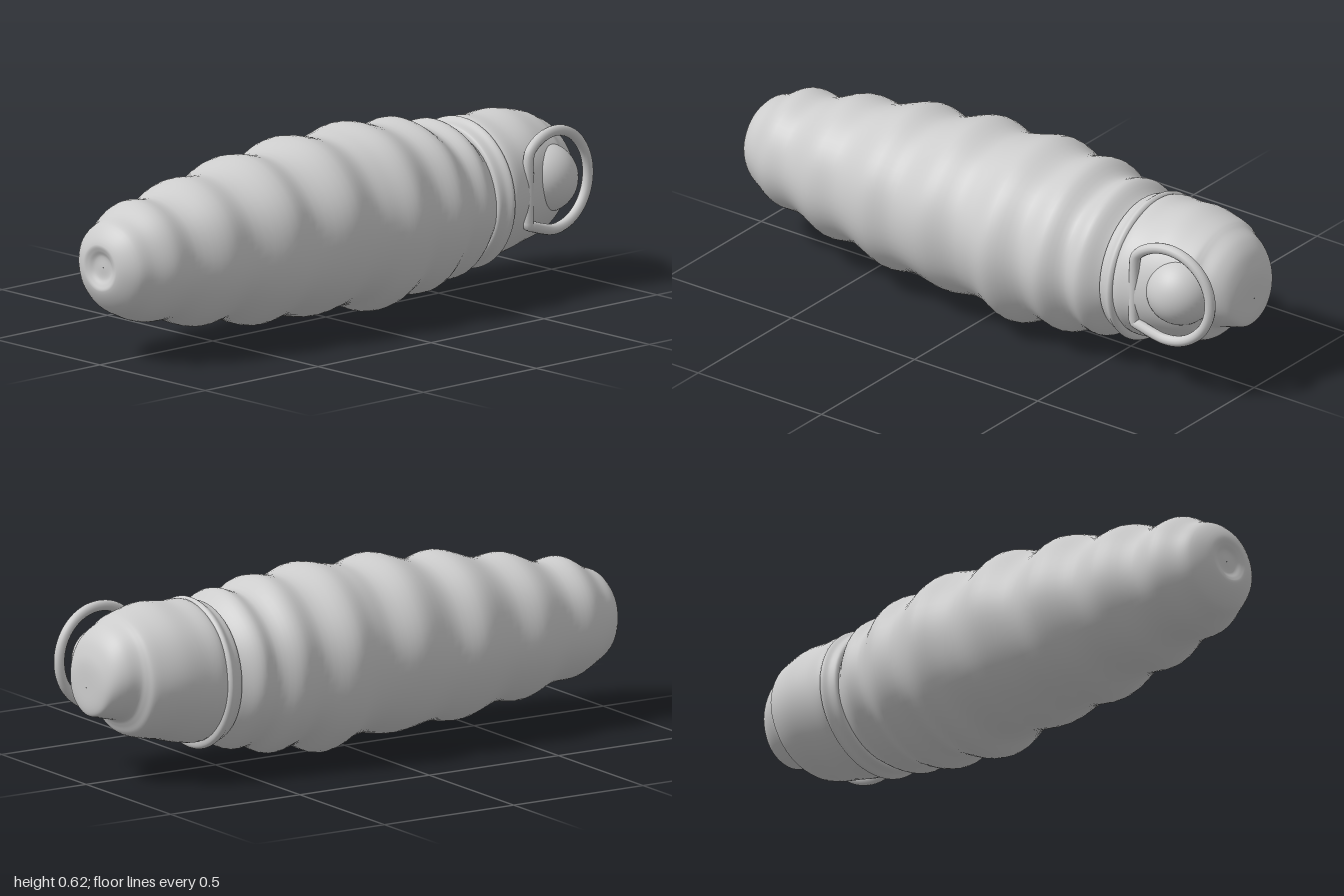
import * as THREE from 'three';

const grey = new THREE.MeshStandardMaterial({ color: 0xcccccc });
grey.name = 'clay grey';

// Smooth tube along x through stations [x, top y, bottom y]
function loft(name, stations, widen, wobble = 0) {
  const curve = new THREE.CatmullRomCurve3(stations.map(s => new THREE.Vector3(...s)));
  const rows = (stations.length - 1) * 5, cols = 56;
  const pos = [], index = [];
  for (let i = 0; i <= rows; i++) {
    const p = curve.getPoint(i / rows);
    const cy = (p.y + p.z) / 2, r = (p.y - p.z) / 2;
    for (let j = 0; j < cols; j++) {
      const a = (j / cols) * Math.PI * 2;
      // gentle hand-modelled unevenness, fading towards the small ends
      const k = 1 + wobble * Math.sin(5 * a + 9 * p.x) * Math.sin(2 * a - 14 * p.x);
      pos.push(p.x, cy + r * k * Math.cos(a), r * k * widen * Math.sin(a));
      if (i < rows) {
        const n = i * cols + j, m = i * cols + (j + 1) % cols;
        index.push(n, m, n + cols, m, m + cols, n + cols);
      }
    }
  }
  const geo = new THREE.BufferGeometry();
  geo.setAttribute('position', new THREE.Float32BufferAttribute(pos, 3));
  geo.setIndex(index);
  geo.computeVertexNormals();
  return part(name, geo);
}

function part(name, geo) {
  const mesh = new THREE.Mesh(geo, grey);
  mesh.name = name;
  return mesh;
}

export function createModel() {
  const model = new THREE.Group();
  model.name = 'grub';

  // Segmented body, from the dimpled tail tip to the neck
  model.add(loft('body', [
    [-0.985, 0.323, 0.321], [-0.985, 0.36, 0.284], [-0.995, 0.38, 0.264],
    [-1, 0.40, 0.245], [-0.96, 0.46, 0.178], [-0.91, 0.482, 0.148],
    [-0.84, 0.52, 0.12], [-0.75, 0.513, 0.114], [-0.63, 0.56, 0.074],
    [-0.52, 0.555, 0.08], [-0.38, 0.60, 0.04], [-0.27, 0.582, 0.05],
    [-0.13, 0.624, 0.031], [-0.02, 0.60, 0.044], [0.05, 0.61, 0.036],
    [0.14, 0.628, 0.004], [0.25, 0.598, 0.042], [0.34, 0.61, 0.027],
    [0.42, 0.57, 0.06], [0.48, 0.584, 0.056], [0.535, 0.545, 0.086],
    [0.56, 0.53, 0.11],
  ], 1.02, 0.008));

  // Narrow collar fold
  model.add(loft('collar', [
    [0.545, 0.53, 0.12], [0.55, 0.552, 0.092], [0.575, 0.56, 0.082],
    [0.597, 0.573, 0.072], [0.608, 0.566, 0.08], [0.612, 0.54, 0.11],
  ], 1.02));

  // Head with a chin ledge and a blunt flat snout
  model.add(loft('head', [
    [0.595, 0.54, 0.12], [0.612, 0.566, 0.1], [0.68, 0.568, 0.105],
    [0.76, 0.574, 0.124], [0.83, 0.56, 0.138], [0.868, 0.55, 0.155],
    [0.885, 0.543, 0.183], [0.90, 0.535, 0.203], [0.94, 0.513, 0.215],
    [0.97, 0.48, 0.223], [0.99, 0.435, 0.23], [0.998, 0.40, 0.255],
    [1, 0.325, 0.323],
  ], 1.05, 0.008));

  // Round eye in a short socket, on the front side only
  const socket = part('eyeSocket', new THREE.CylinderGeometry(0.108, 0.118, 0.1, 40));
  socket.rotation.x = Math.PI / 2;
  socket.position.set(0.82, 0.36, 0.135);
  const eye = part('eye', new THREE.SphereGeometry(0.115, 40, 28));
  eye.position.set(0.82, 0.362, 0.153);
  model.add(socket, eye);

  // D-shaped wire loop framing the eye, slightly tilted
  const loop = [];
  for (let i = 0; i <= 16; i++) {
    const a = THREE.MathUtils.degToRad(130 - i * 15);
    loop.push([0.81 + 0.163 * Math.cos(a), 0.366 + 0.163 * Math.sin(a)]);
  }
  loop.push([0.70, 0.23], [0.686, 0.234], [0.684, 0.25], [0.686, 0.36], [0.69, 0.47]);
  const path = new THREE.CatmullRomCurve3(
    loop.map(([x, y]) => new THREE.Vector3(x, y, 0.228 - 0.09 * (x - 0.67))), true);
  model.add(part('eyeLoop', new THREE.TubeGeometry(path, 120, 0.018, 12, true)));

  return model;
}
